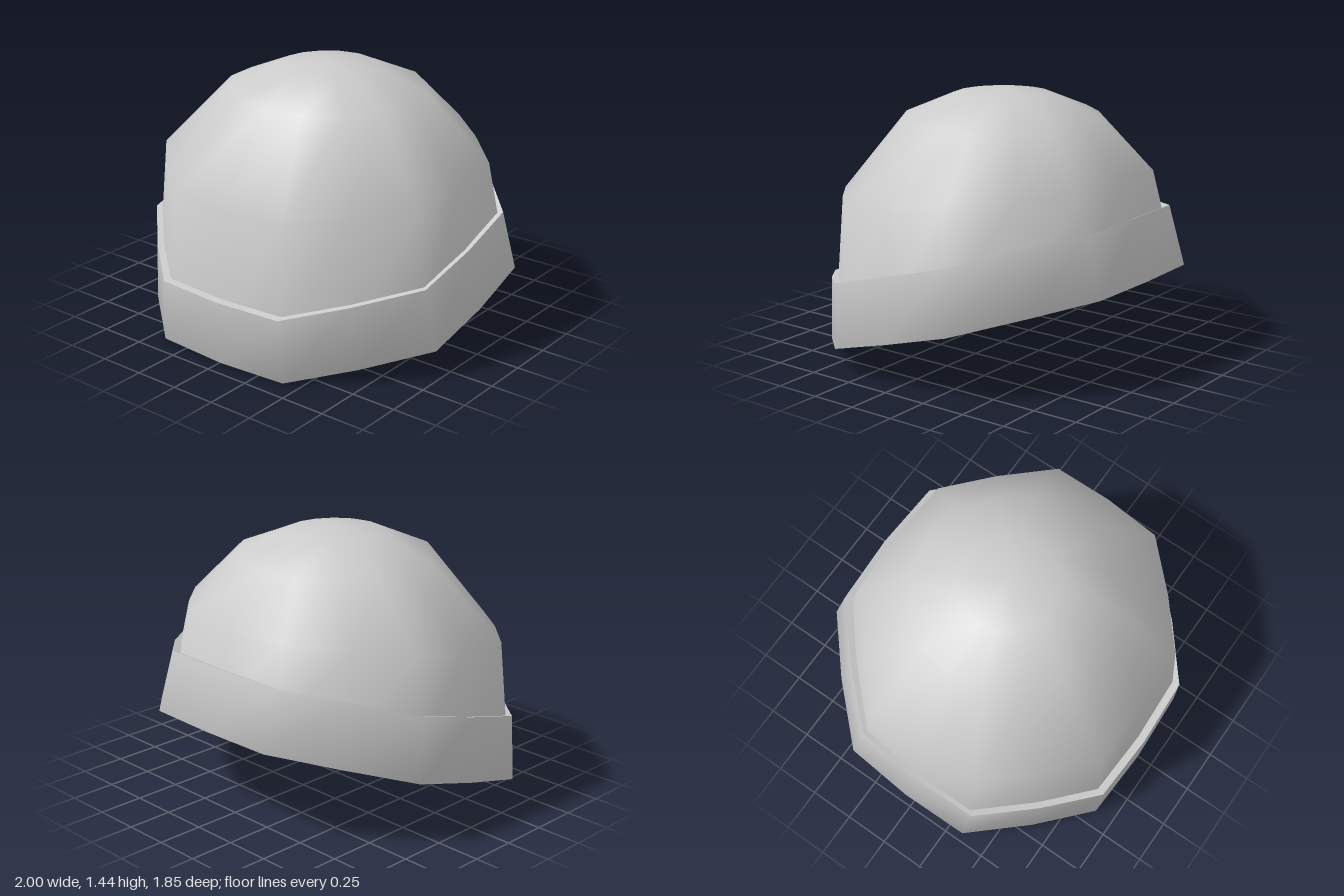
import * as THREE from 'three';
import { mergeVertices } from 'three/addons/utils/BufferGeometryUtils.js';

// Quarter of the eight-cornered outline, from front (+z) round to the side (+x)
const QUARTER = [[0, 0.92], [0.41, 0.9], [0.7, 0.655], [0.98, 0.37], [1, 0]];
const OUTLINE = [
  ...QUARTER,
  ...QUARTER.slice(0, 4).reverse().map(([x, z]) => [x, -z]),
  ...QUARTER.slice(1).map(([x, z]) => [-x, -z]),
  ...QUARTER.slice(1, 4).reverse().map(([x, z]) => [-x, z]),
];

// One cross-section: scaled outline, shifted in z, height falling towards the front;
// round blends the outline into a circle
function ring({ sx, sz = sx, dz = 0, y, slope = 0, round = 0 }) {
  return OUTLINE.map(([ox, oz]) => {
    const r = Math.hypot(ox, oz);
    const k = THREE.MathUtils.lerp(1, 0.97 / r, round);
    const z = oz * k * sz + dz;
    return [ox * k * sx, y - slope * z, z];
  });
}

// Skin a list of cross-sections with smooth normals
function loft(name, sections, material) {
  const n = OUTLINE.length;
  const positions = sections.map(ring).flat(2);
  const index = [];
  for (let j = 0; j < sections.length - 1; j++) {
    for (let i = 0; i < n; i++) {
      const a = j * n + i, b = j * n + (i + 1) % n;
      index.push(a, b, b + n, a, b + n, a + n);
    }
  }
  let geometry = new THREE.BufferGeometry();
  geometry.setAttribute('position', new THREE.Float32BufferAttribute(positions, 3));
  geometry.setIndex(index);
  geometry = mergeVertices(geometry, 1e-5);
  geometry.computeVertexNormals();
  const mesh = new THREE.Mesh(geometry, material);
  mesh.name = name;
  return mesh;
}

export function createModel() {
  const group = new THREE.Group();
  group.name = 'knitHat';
  const material = new THREE.MeshStandardMaterial({ color: 0xcccccc, side: THREE.DoubleSide });

  // Rounded crown, its lower edge tucked inside the cuff
  group.add(loft('crown', [
    { sx: 0.95, sz: 0.945, dz: 0.02, y: 0.4, slope: 0.27 },
    { sx: 0.875, sz: 0.87, dz: 0.05, y: 0.937, slope: 0.11 },
    { sx: 0.55, sz: 0.55, y: 1.295, round: 0.5 },
    { sx: 0.275, sz: 0.275, y: 1.41, round: 1 },
    { sx: 0, y: 1.445 },
  ], material));

  // Folded cuff, tilted up at the back and curling in underneath
  const cuffTop = { sx: 0.95, sz: 0.957, dz: 0.04, y: 0.605, slope: 0.278 };
  group.add(loft('cuff', [
    { sx: 0.7, y: 0.29, slope: 0.28 },
    { sx: 0.87, y: 0.25, slope: 0.28 },
    { sx: 1, dz: -0.01, y: 0.257, slope: 0.28 },
    cuffTop,
  ], material));

  // Narrow top edge between cuff and crown
  group.add(loft('cuffEdge', [
    cuffTop,
    { sx: 0.9, sz: 0.9, dz: 0.04, y: 0.595, slope: 0.278 },
  ], material));

  // Flat closure inside the opening
  group.add(loft('liner', [
    { sx: 0, y: 0.3, slope: 0.28 },
    { sx: 0.73, y: 0.3, slope: 0.28 },
  ], material));

  return group;
}
